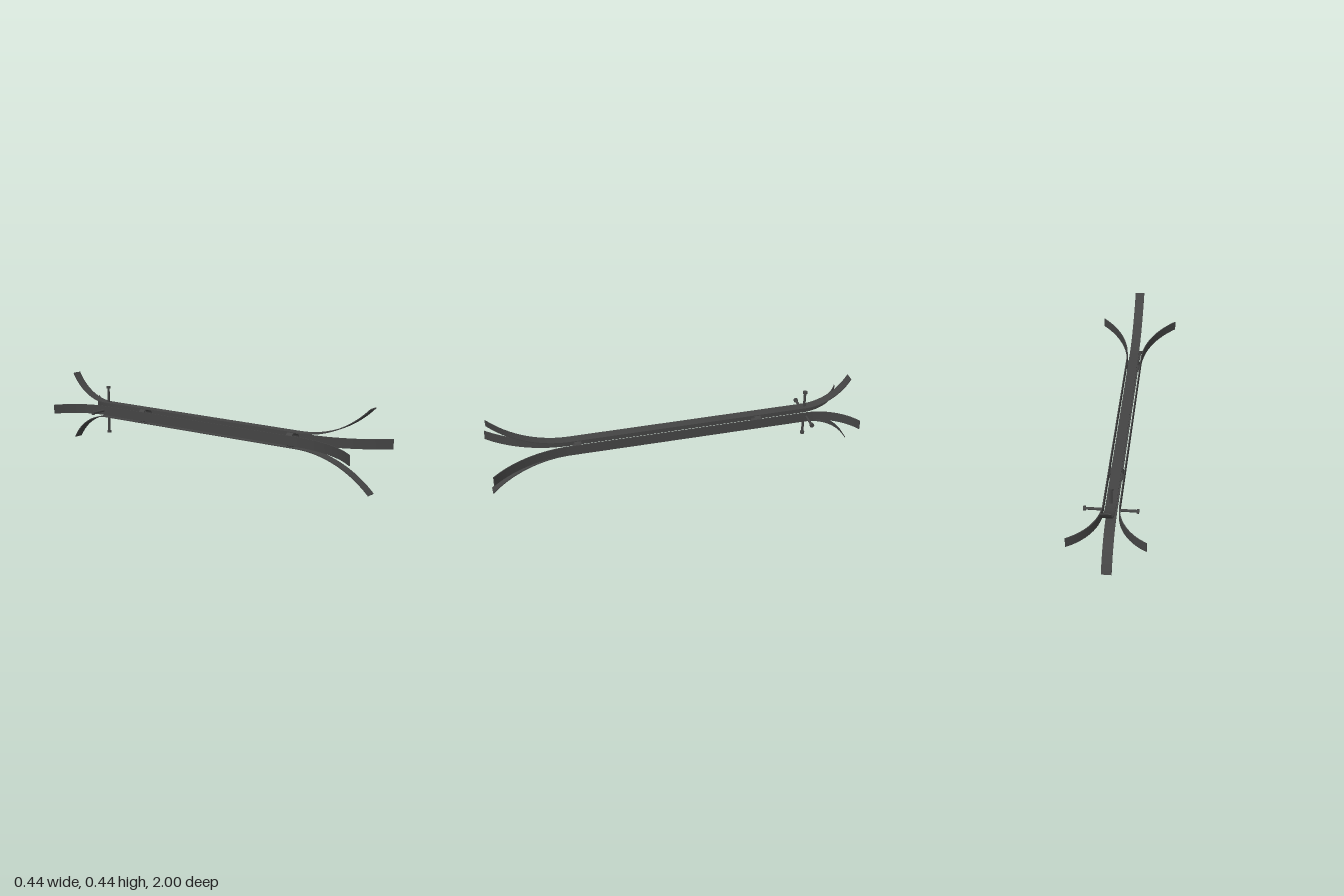
import * as THREE from 'three';
import { toCreasedNormals } from 'three/addons/utils/BufferGeometryUtils.js';

const CENTER_Y = 0.219;
const STRIP_R = 0.041, STRIP_T = 0.005, STRIP_W = 0.052;

// Circular flare leaving the straight run at z0 and ending at (z1, r1); returns [z, r, normalZ, normalR]
function flare(z0, z1, r1, steps) {
  const run = Math.abs(z1 - z0), dir = Math.sign(z1 - z0), rise = r1 - STRIP_R;
  const radius = (run * run + rise * rise) / (2 * rise);
  const end = Math.asin(run / radius);
  return Array.from({ length: steps + 1 }, (_, i) => {
    const a = end * i / steps;
    return [z0 + dir * radius * Math.sin(a), STRIP_R + radius * (1 - Math.cos(a)),
      -dir * Math.sin(a), Math.cos(a)];
  });
}

// Side profile of one bent flat bar, extruded across its width
function stripGeometry() {
  const line = [...flare(-0.74, -0.998, 0.193, 20).reverse(), ...flare(0.57, 0.998, 0.217, 20)];
  const offset = d => line.map(([z, r, nz, nr]) => new THREE.Vector2(z + nz * d, r + nr * d));
  const shape = new THREE.Shape([...offset(-STRIP_T / 2), ...offset(STRIP_T / 2).reverse()]);
  const geo = new THREE.ExtrudeGeometry(shape, { depth: STRIP_W, bevelEnabled: false });
  geo.translate(0, 0, -STRIP_W / 2);
  geo.rotateY(-Math.PI / 2);
  return toCreasedNormals(geo, 0.6);
}

// Hollow band around the z axis
function ringGeometry(outer, inner, width) {
  const h = width / 2;
  const profile = [[inner, -h], [outer, -h], [outer, h], [inner, h], [inner, -h]]
    .map(([x, y]) => new THREE.Vector2(x, y));
  const geo = new THREE.LatheGeometry(profile, 48);
  geo.rotateX(Math.PI / 2);
  return toCreasedNormals(geo, 0.6);
}

export function createModel() {
  const model = new THREE.Group();
  model.name = 'centralizer';
  const material = new THREE.MeshStandardMaterial({ color: 0x444444 });
  const add = (parent, name, geo, x = 0, y = 0, z = 0) => {
    const mesh = new THREE.Mesh(geo, material);
    mesh.name = name;
    mesh.position.set(x, y, z);
    parent.add(mesh);
  };

  const strip = stripGeometry();
  const shaft = new THREE.CylinderGeometry(0.007, 0.007, 0.09, 20);
  const head = new THREE.CylinderGeometry(0.012, 0.012, 0.012, 20);

  // Four flared bars, each with a headed pin standing on its outer face
  ['top', 'right', 'bottom', 'left'].forEach((side, i) => {
    const arm = new THREE.Group();
    arm.name = side + 'Arm';
    arm.position.y = CENTER_Y;
    arm.rotation.z = i * Math.PI / 2;
    add(arm, 'flaredStrip', strip);
    add(arm, 'pinShaft', shaft, 0, 0.086, -0.745);
    add(arm, 'pinHead', head, 0, 0.131, -0.745);
    model.add(arm);
  });

  // Inner rings that hold the bars together
  const ring = ringGeometry(0.039, 0.0345, 0.037);
  add(model, 'frontRing', ring, 0, CENTER_Y, 0.53);
  add(model, 'backRing', ring, 0, CENTER_Y, -0.467);
  return model;
}
